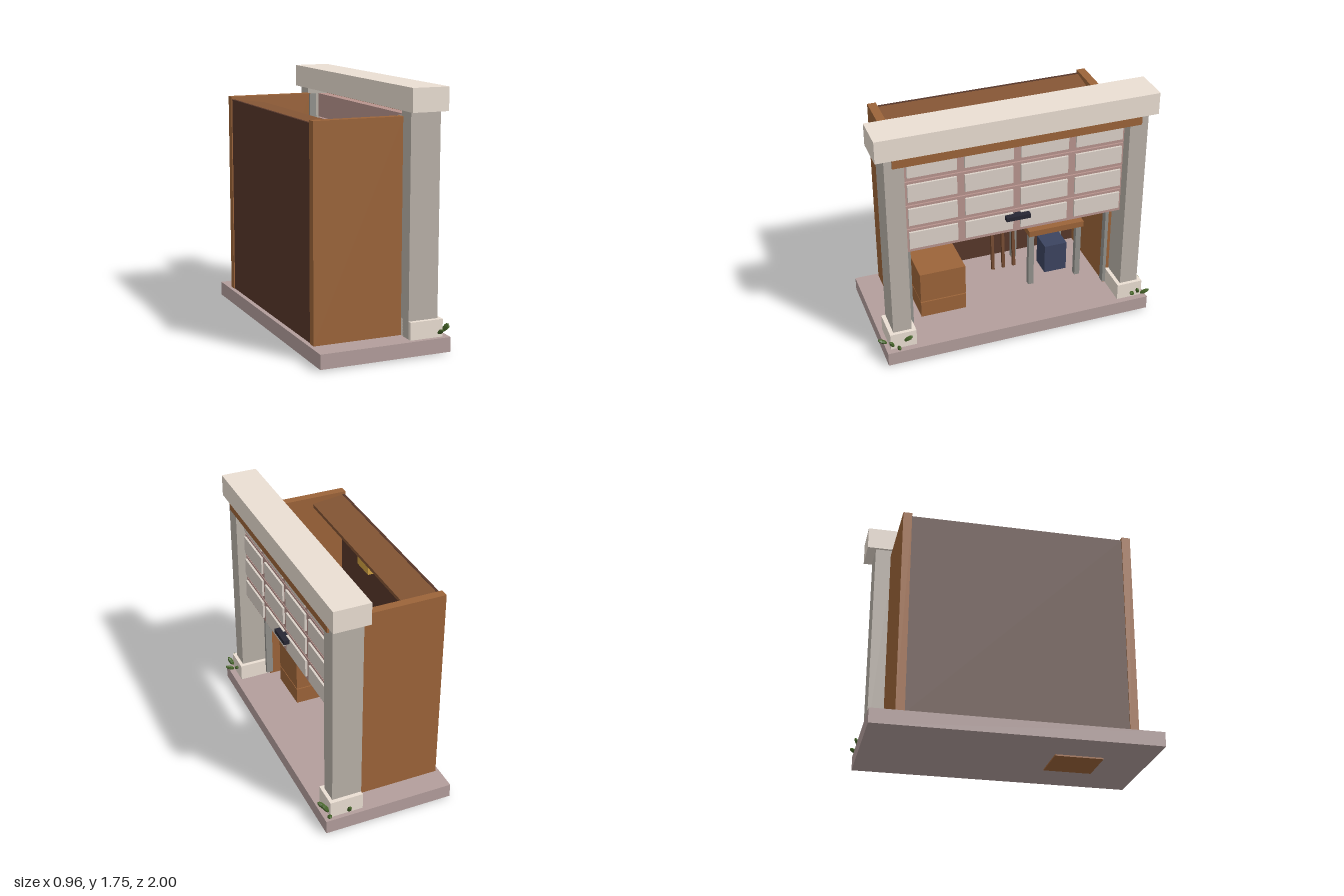
import * as THREE from 'three';

const C = -0.012; // middle of the building along z

const mat = (color) => {
  const m = new THREE.MeshStandardMaterial({ color: 0xcccccc, flatShading: true });
  m.color.set(color);
  return m;
};
const M = {
  wood: mat(0x9c6439), board: mat(0x845534), stick: mat(0x6b4227), darkWood: mat(0x57372a),
  slab: mat(0xb39e9c), stone: mat(0xb9b1a8), cream: mat(0xebdfd3),
  frame: mat(0xb8948e), panel: mat(0xdcd2c9), metal: mat(0x92918c),
  black: mat(0x262633), red: mat(0xb03039), blue: mat(0x3c4460),
  lamp: mat(0xd0a040), leaf: mat(0x456428),
};

export function createModel() {
  const model = new THREE.Group();
  model.name = 'garage';

  // box given by its limits on each axis
  const box = (name, m, x0, x1, y0, y1, z0, z1, parent = model) => {
    const mesh = new THREE.Mesh(new THREE.BoxGeometry(x1 - x0, y1 - y0, z1 - z0), M[m]);
    mesh.position.set((x0 + x1) / 2, (y0 + y1) / 2, (z0 + z1) / 2);
    mesh.name = name;
    parent.add(mesh);
    return mesh;
  };
  // mirrored pair of boxes, a..b measured outwards from the middle
  const pair = (name, m, x0, x1, y0, y1, a, b) => {
    box(name + 'Left', m, x0, x1, y0, y1, C + a, C + b);
    box(name + 'Right', m, x0, x1, y0, y1, C - b, C - a);
  };
  const group = (name) => {
    const g = new THREE.Group();
    g.name = name;
    model.add(g);
    return g;
  };

  // floor, walls and portal
  box('floorSlab', 'slab', -0.48, 0.443, 0.01, 0.11, C - 0.967, C + 0.967);
  pair('sideWall', 'wood', -0.455, 0.17, 0.11, 1.55, 0.738, 0.798);
  box('backWall', 'darkWood', -0.448, -0.43, 0.11, 1.53, C - 0.738, C + 0.738);
  pair('pillar', 'stone', 0.165, 0.375, 0.11, 1.59, 0.777, 0.907);
  pair('pillarBase', 'cream', 0.165, 0.4, 0.105, 0.23, 0.75, 0.936);
  box('lintel', 'cream', 0.145, 0.4, 1.59, 1.745, C - 0.967, C + 0.967);
  box('headerBeam', 'wood', 0.32, 0.39, 1.525, 1.59, C - 0.855, C + 0.855);

  // high board along the back wall, dipping slightly to the front, with a lamp below
  const board = box('highBoard', 'board', -0.445, -0.2, 1.485, 1.515, C - 0.738, C + 0.738);
  board.rotation.z = -0.12;
  box('lampMount', 'metal', -0.33, -0.29, 1.4, 1.49, -0.04, 0.02);
  box('lamp', 'lamp', -0.37, -0.25, 1.35, 1.41, -0.097, 0.075);

  // half-raised sectional door
  const door = group('door');
  for (let row = 0; row < 4; row++) {
    const y = 0.825 + row * 0.182;
    box('doorSection', 'frame', 0.245, 0.315, y, y + 0.174, C - 0.765, C + 0.765, door);
    for (let col = 0; col < 4; col++) {
      const z = C + (col - 1.5) * 0.388;
      box('doorPanel', 'panel', 0.31, 0.33, y + 0.03, y + 0.157, z - 0.167, z + 0.167, door);
    }
  }
  box('doorHandle', 'black', 0.31, 0.37, 0.945, 0.975, -0.097, 0.075, door);
  pair('doorTrack', 'metal', 0.155, 0.205, 0.14, 1.55, 0.715, 0.739);

  // stacked crates
  box('lowerCrate', 'wood', -0.18, 0.125, 0, 0.232, 0.293, 0.624);
  box('upperCrate', 'wood', -0.18, 0.125, 0.24, 0.47, 0.293, 0.624);

  // workbench with a toolbox on top and a bin underneath
  const bench = group('workbench');
  box('benchTop', 'wood', -0.4, 0.03, 0.535, 0.58, -0.64, -0.22, bench);
  for (const x of [-0.385, -0.02])
    for (const z of [-0.626, -0.262]) box('benchLeg', 'metal', x, x + 0.04, 0.11, 0.54, z, z + 0.04, bench);
  box('toolbox', 'red', -0.32, -0.06, 0.59, 0.75, -0.55, -0.317);
  box('toolboxFoot', 'darkWood', -0.31, -0.07, 0.575, 0.592, -0.54, -0.327);
  box('bin', 'blue', -0.24, -0.08, 0.11, 0.34, -0.558, -0.387);

  // sticks leaning on the back wall
  for (let i = 0; i < 3; i++) {
    const z = -0.038 - i * 0.082;
    const from = new THREE.Vector3(-0.24, 0.115, z);
    const dir = new THREE.Vector3(-0.4, 0.72, z - 0.038).sub(from);
    const stick = new THREE.Mesh(new THREE.BoxGeometry(0.022, dir.length(), 0.022), M.stick);
    stick.position.copy(from).addScaledVector(dir, 0.5);
    stick.quaternion.setFromUnitVectors(new THREE.Vector3(0, 1, 0), dir.normalize());
    stick.name = 'leaningStick';
    model.add(stick);
  }

  // leaves around the pillar feet: position, then growing direction
  const leafGeo = new THREE.SphereGeometry(1, 6, 5).scale(0.017, 0.037, 0.014);
  const leaves = [
    [0.36, 0.16, 0.97, 0, 0.5, 0.8], [0.42, 0.17, 0.92, 0.4, 0.8, 0.4],
    [0.445, 0.145, 0.875, 0.9, 0.5, 0.1], [0.415, 0.185, 0.8, 0.3, 0.6, -0.8],
    [0.415, 0.14, -0.97, 0.3, 0.5, -0.8], [0.42, 0.165, -0.91, 0.5, 0.7, 0.3],
    [0.425, 0.155, -0.865, 0.6, 0.5, 0.6], [0.27, 0.15, -0.965, 0.1, 0.7, -0.4],
  ];
  const plants = group('leaves');
  for (const [x, y, z, dx, dy, dz] of leaves) {
    const leaf = new THREE.Mesh(leafGeo, M.leaf);
    leaf.position.set(x, y, z);
    leaf.quaternion.setFromUnitVectors(new THREE.Vector3(0, 1, 0), new THREE.Vector3(dx, dy, dz).normalize());
    leaf.name = 'leaf';
    plants.add(leaf);
  }
  return model;
}
